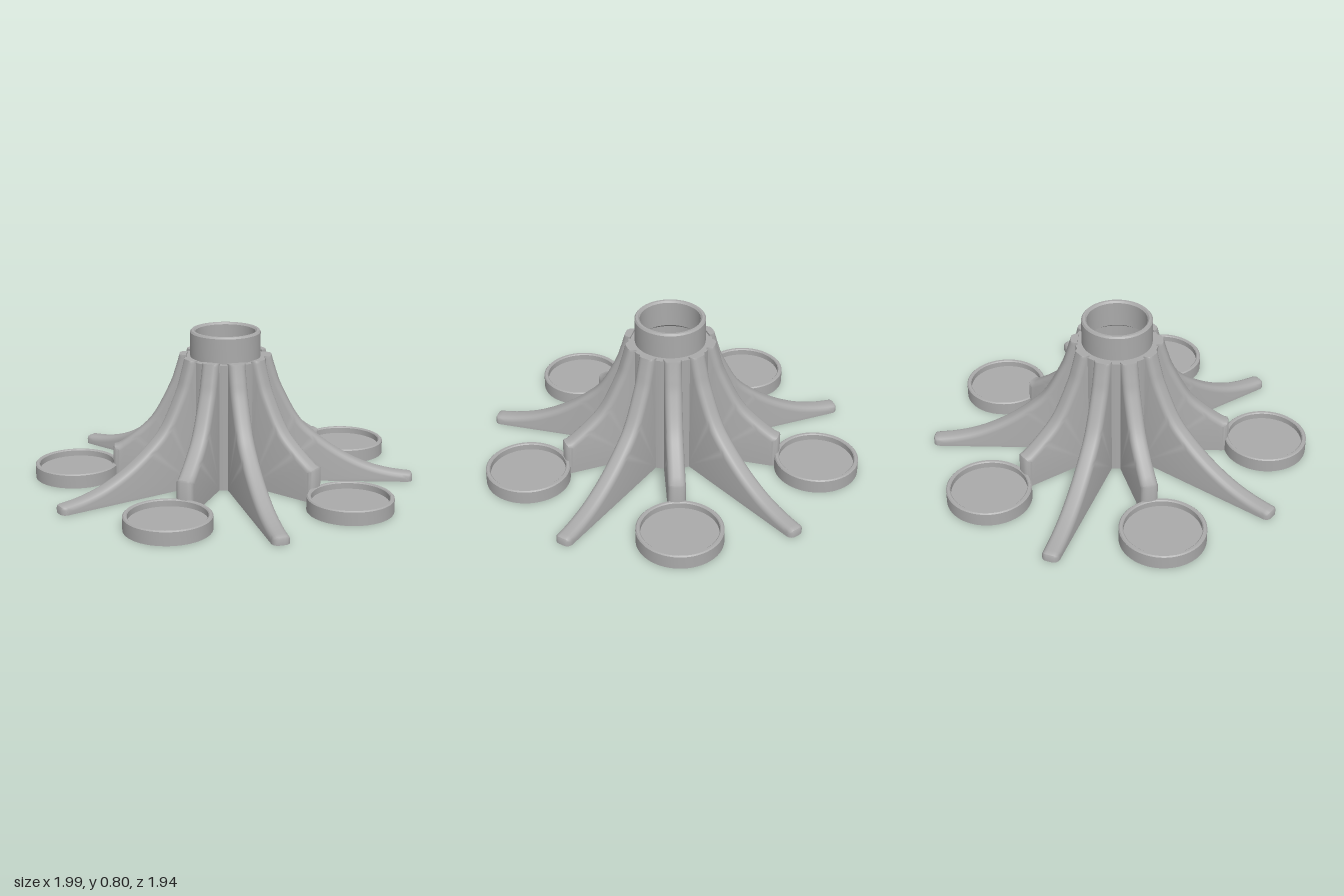
import * as THREE from 'three';
import { toCreasedNormals } from 'three/addons/utils/BufferGeometryUtils.js';

const WIDTH = 0.09, ROUND = 0.03, TOP = 0.675, INNER = 0.2;

const v = (x, y) => new THREE.Vector2(x, y);

// Flared top edge shared by all ribs: radius, height
const FLARE = [
  [0.228, 0.715], [0.237, 0.675], [0.262, 0.59], [0.293, 0.505], [0.375, 0.35], [0.46, 0.26],
  [0.59, 0.165], [0.73, 0.095], [0.86, 0.058], [0.985, 0.042],
];

// Upright rib with rounded top and end, cut flat at the hub, the base and the top
function ribGeometry(reach) {
  const curve = new THREE.SplineCurve(FLARE.map(([r, y]) => v(r, y)));
  const edge = curve.getPoints(54).filter((p) => p.x < reach - 0.012);
  const last = edge[edge.length - 1];
  const outline = [
    v(INNER - ROUND, -ROUND),
    v(reach, -ROUND),
    v(reach, last.y - 0.016),
    v(reach - 0.005, last.y - 0.005),
    ...edge.reverse(),
    v(INNER - ROUND, 0.715),
  ];
  const geo = new THREE.ExtrudeGeometry(new THREE.Shape(outline), {
    depth: WIDTH - 2 * ROUND, bevelEnabled: true, bevelThickness: ROUND,
    bevelSize: ROUND, bevelOffset: -ROUND, bevelSegments: 4,
  });
  geo.translate(0, 0, ROUND - WIDTH / 2);
  const p = geo.attributes.position;
  for (let i = 0; i < p.count; i++) {
    p.setX(i, Math.max(INNER, p.getX(i)));
    p.setY(i, THREE.MathUtils.clamp(p.getY(i), 0, TOP));
  }
  return toCreasedNormals(geo, 0.6);
}

function latheGeometry(points, segments) {
  const profile = points.map(([r, y]) => v(r, y));
  return toCreasedNormals(new THREE.LatheGeometry(profile, segments), 0.6);
}

export function createModel() {
  const model = new THREE.Group();
  const grey = new THREE.MeshStandardMaterial({ color: 0xaaaaaa });
  grey.name = 'plain grey';

  const add = (geometry, name, parent) => {
    const mesh = new THREE.Mesh(geometry, grey);
    mesh.name = name;
    parent.add(mesh);
    return mesh;
  };

  // Hollow hub with a narrower collar on top
  add(latheGeometry([
    [0.195, 0], [0.215, 0], [0.215, 0.665], [0.182, 0.665], [0.182, 0.793], [0.175, 0.802],
    [0.163, 0.802], [0.155, 0.793], [0.155, 0.66], [0.195, 0.63], [0.195, 0],
  ], 64), 'hub', model);

  const longRib = ribGeometry(0.985);
  const shortRib = ribGeometry(0.592);

  // Shallow round tray with a raised rim
  const tray = latheGeometry([
    [0, 0], [0.218, 0], [0.218, 0.069], [0.212, 0.075], [0.2, 0.075],
    [0.195, 0.07], [0.195, 0.04], [0, 0.04],
  ], 56);

  // Five short arms carrying trays alternate with five long legs
  for (let i = 0; i < 5; i++) {
    const angle = (i * Math.PI * 2) / 5;
    const arm = new THREE.Group();
    arm.name = 'trayArm' + (i + 1);
    arm.rotation.y = angle;
    add(shortRib, 'shortRib', arm);
    add(tray, 'tray', arm).position.x = 0.79;
    model.add(arm);
    add(longRib, 'longRib' + (i + 1), model).rotation.y = angle + Math.PI;
  }

  model.children.forEach((part) => { part.position.x -= 0.012; });
  return model;
}
